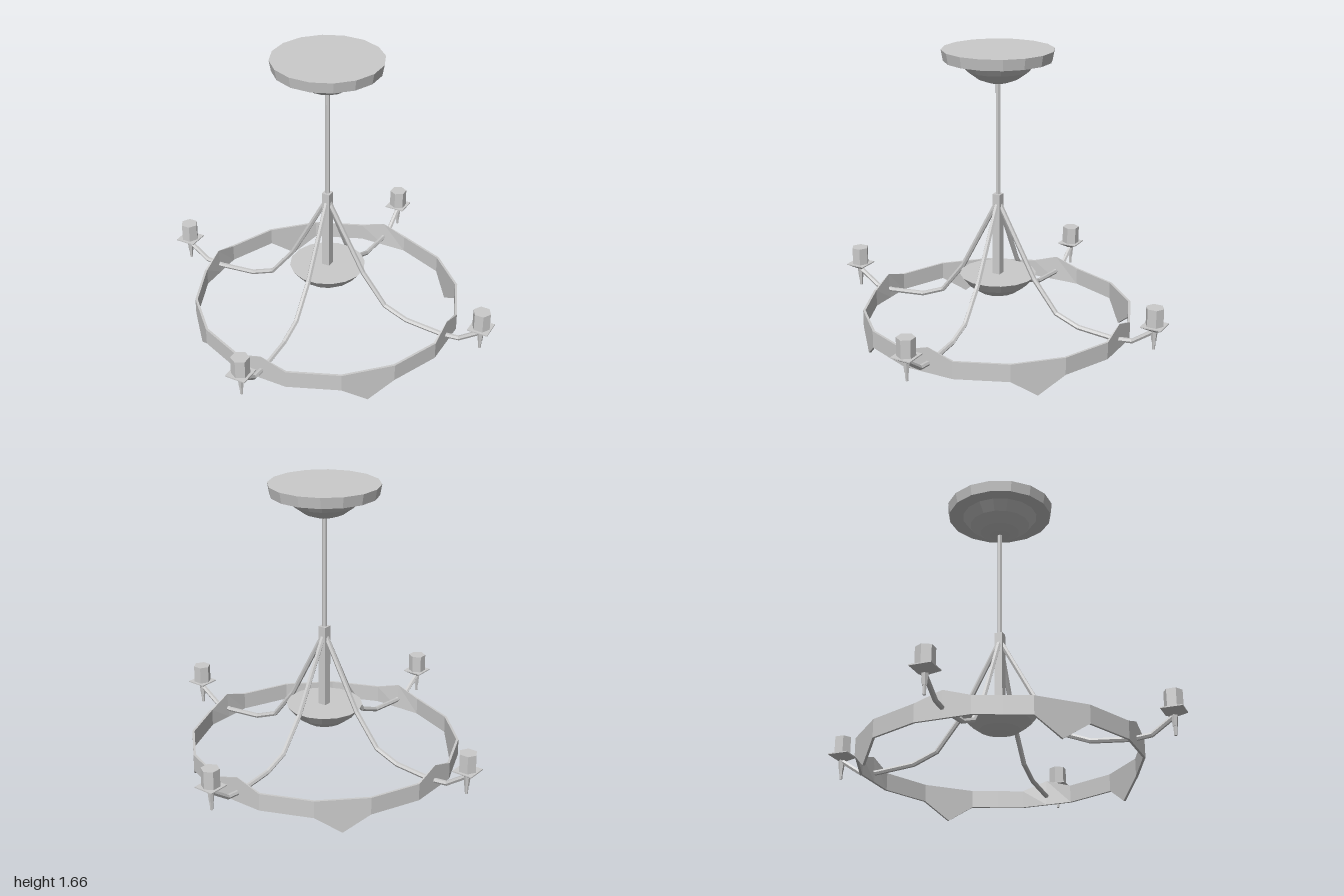
import * as THREE from 'three';

const material = new THREE.MeshStandardMaterial({ color: 0xcccccc, flatShading: true });
const SIDES = 16;

function add(parent, name, geometry, x = 0, y = 0, z = 0) {
  const mesh = new THREE.Mesh(geometry, material);
  mesh.name = name;
  mesh.position.set(x, y, z);
  parent.add(mesh);
  return mesh;
}

// Faceted turned part; profile runs bottom to top, flats face the axes
function turned(profile) {
  const points = profile.map(([r, y]) => new THREE.Vector2(r, y));
  return new THREE.LatheGeometry(points, SIDES, Math.PI / SIDES, Math.PI * 2);
}

// Straight-segment path with mitred corners for the tube
class BentPath extends THREE.Curve {
  constructor(points) {
    super();
    this.points = points.map(([x, y]) => new THREE.Vector3(x, y, 0));
  }
  index(u) { return Math.round(u * (this.points.length - 1)); }
  getPointAt(u) { return this.points[this.index(u)].clone(); }
  getTangentAt(u) {
    const p = this.points, i = this.index(u), t = new THREE.Vector3();
    if (i > 0) t.add(p[i].clone().sub(p[i - 1]).normalize());
    if (i < p.length - 1) t.add(p[i + 1].clone().sub(p[i]).normalize());
    return t.normalize();
  }
}

// Sixteen-sided band: peaks rise on the axes, points drop on the diagonals
function bandGeometry() {
  const outer = 0.744, inner = 0.731, stations = SIDES * 2;
  const positions = [], indices = [];
  for (let i = 0; i < stations; i++) {
    const a = (i / stations) * Math.PI * 2;
    const corner = i % 2 ? 1 / Math.cos(Math.PI / SIDES) : 1;
    const peak = i % 8 === 0, drop = i % 8 === 4;
    const top = peak ? 0.25 : 0.202, bottom = drop ? 0.008 : 0.105;
    const section = [[outer, bottom], [outer, top], [peak ? outer - 0.002 : inner, top], [inner, bottom]];
    for (const [r, y] of section) {
      positions.push(Math.cos(a) * r * corner, y, Math.sin(a) * r * corner);
    }
    const next = (i + 1) % stations;
    for (let k = 0; k < 4; k++) {
      const l = (k + 1) % 4;
      const p = i * 4 + k, q = i * 4 + l, r = next * 4 + l, s = next * 4 + k;
      indices.push(p, q, r, p, r, s);
    }
  }
  const geometry = new THREE.BufferGeometry();
  geometry.setAttribute('position', new THREE.Float32BufferAttribute(positions, 3));
  geometry.setIndex(indices);
  geometry.computeVertexNormals();
  return geometry;
}

// One arm with its candle holder, reaching along +x
function createArm() {
  const arm = new THREE.Group();
  arm.name = 'arm';
  const path = new BentPath([
    [0.005, 0.82], [0.225, 0.41], [0.365, 0.232], [0.5, 0.178],
    [0.72, 0.158], [0.82, 0.168], [0.942, 0.252],
  ]);
  add(arm, 'armRod', new THREE.TubeGeometry(path, path.points.length - 1, 0.014, 6, false));

  const x = 0.942;
  const cup = add(arm, 'candleCup', new THREE.CylinderGeometry(0.05, 0.05, 0.102, 6), x, 0.336, 0);
  cup.rotation.y = Math.PI / 2;
  add(arm, 'dripPlate', new THREE.BoxGeometry(0.116, 0.006, 0.116), x, 0.284, 0);
  const base = add(arm, 'plateBase', new THREE.CylinderGeometry(0.08, 0.02, 0.028, 4), x, 0.267, 0);
  base.rotation.y = Math.PI / 4;
  add(arm, 'finialTop', new THREE.CylinderGeometry(0.019, 0.013, 0.06, 6), x, 0.225, 0);
  add(arm, 'finialTip', new THREE.CylinderGeometry(0.011, 0.008, 0.05, 6), x, 0.173, 0);
  return arm;
}

export function createModel() {
  const model = new THREE.Group();
  model.name = 'chandelier';

  // Ceiling canopy and the two matching bowls
  add(model, 'canopy', turned([[0, 1.61], [0.292, 1.61], [0.303, 1.67], [0, 1.67]]));
  const bowl = turned([
    [0, 0], [0.055, 0.002], [0.11, 0.022], [0.17, 0.066], [0.213, 0.12], [0, 0.12],
  ]);
  add(model, 'canopyBowl', bowl, 0, 1.49, 0);
  add(model, 'lowerBowl', bowl, 0, 0.284, 0);

  // Hanging rod and square stem
  add(model, 'hangingRod', new THREE.CylinderGeometry(0.014, 0.014, 0.66, 6), 0, 1.18, 0);
  add(model, 'stem', new THREE.BoxGeometry(0.046, 0.48, 0.046), 0, 0.628, 0);

  add(model, 'ringBand', bandGeometry());

  for (let i = 0; i < 4; i++) {
    const arm = createArm();
    arm.rotation.y = (i * Math.PI) / 2;
    model.add(arm);
  }
  return model;
}
